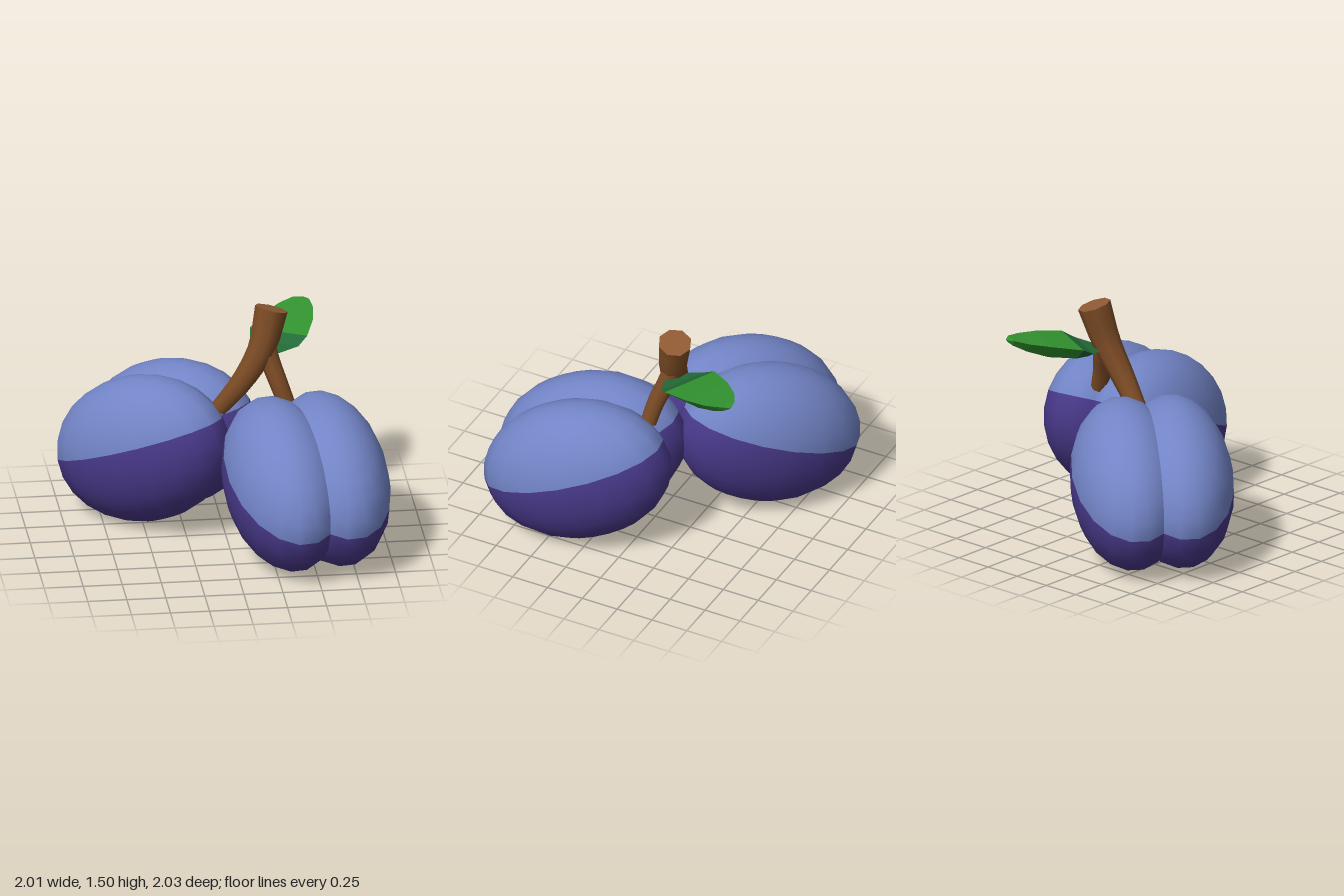
import * as THREE from 'three';

const mat = (name, color, side = THREE.FrontSide) => {
  const m = new THREE.MeshStandardMaterial({ color, side });
  m.name = name;
  return m;
};

export function createModel() {
  const bloom = mat('bloomBlue', 0x7284c6);
  const skin = mat('skinPurple', 0x483888);
  const bark = mat('barkBrown', 0x7a4a24);
  const cutWood = mat('cutWood', 0x8f5a34);
  const leafGreen = mat('leafGreen', 0x339430, THREE.DoubleSide);
  const leafDark = mat('leafDarkGreen', 0x246a38, THREE.DoubleSide);

  const model = new THREE.Group();
  model.name = 'fruitPair';
  const add = (parent, name, geometry, material) => {
    const mesh = new THREE.Mesh(geometry, material);
    mesh.name = name;
    parent.add(mesh);
  };

  // Fruit: two overlapping lobes, each split into a pale top and a dark underside
  const split = Math.acos(0.15);
  function fruit(name, x, z, yaw) {
    const g = new THREE.Group();
    g.name = name;
    g.position.set(x, 0.5, z);
    g.rotation.set(0.39, yaw, 0, 'YXZ');
    for (const side of [-1, 1]) {
      const lobe = (start, length, rows) =>
        new THREE.SphereGeometry(1, 18, rows, 0, Math.PI * 2, start, length)
          .scale(0.36, 0.476, 0.642).translate(side * 0.16, 0, 0);
      const label = side > 0 ? 'left' : 'right';
      add(g, label + 'LobeTop', lobe(0, split, 6), bloom);
      add(g, label + 'LobeUnderside', lobe(split, Math.PI - split, 7), skin);
    }
    model.add(g);
  }
  fruit('frontFruit', 0.47, 0.385, 0.17);
  fruit('backFruit', -0.39, -0.405, -2.264);

  // Tapered branch: an eight-sided cylinder bent along a curve, bottom to top
  function branch(name, points, r0, r1) {
    const curve = new THREE.CatmullRomCurve3(points.map(p => new THREE.Vector3(...p)));
    const geo = new THREE.CylinderGeometry(1, 1, 1, 8, 8);
    const pos = geo.attributes.position, nor = geo.attributes.normal;
    const v = new THREE.Vector3(), n = new THREE.Vector3();
    for (let i = 0; i < pos.count; i++) {
      const t = THREE.MathUtils.clamp(pos.getY(i) + 0.5, 0, 1);
      const r = THREE.MathUtils.lerp(r0, r1, t);
      const T = curve.getTangentAt(t);
      const X = new THREE.Vector3().crossVectors(T, new THREE.Vector3(0, 0, 1)).normalize();
      const Z = new THREE.Vector3().crossVectors(X, T);
      v.copy(curve.getPointAt(t)).addScaledVector(X, pos.getX(i) * r).addScaledVector(Z, pos.getZ(i) * r);
      n.set(0, 0, 0).addScaledVector(X, nor.getX(i)).addScaledVector(T, nor.getY(i)).addScaledVector(Z, nor.getZ(i));
      pos.setXYZ(i, v.x, v.y, v.z);
      nor.setXYZ(i, n.x, n.y, n.z);
    }
    add(model, name, geo, [bark, cutWood, bark]);
  }
  branch('mainStem', [[-0.03, 0.81, -0.13], [0.12, 1.0, -0.11], [0.25, 1.22, -0.13], [0.315, 1.465, -0.175]], 0.058, 0.108);
  branch('sideStem', [[0.4, 0.85, -0.03], [0.35, 0.99, -0.06], [0.3, 1.13, -0.11], [0.27, 1.24, -0.14]], 0.055, 0.065);

  // Leaf: flat top with a keeled underside, from [distance, half width, top y, keel y]
  const stations = [
    [0, 0.08, 1.18, 1.16], [0.09, 0.165, 1.2, 1.15], [0.17, 0.195, 1.245, 1.15], [0.36, 0.165, 1.28, 1.18],
    [0.5, 0.115, 1.3, 1.23], [0.59, 0.055, 1.315, 1.275], [0.62, 0.012, 1.31, 1.3],
  ];
  const section = ([s, w, top, keel]) => [[-w, top], [w, top], [w * 0.4, keel], [-w * 0.4, keel]]
    .map(([a, y]) => [0.3 + 0.45 * s + 0.89 * a, y, -0.16 - 0.89 * s + 0.45 * a]);
  function leafPart(name, list, material) {
    const rings = list.map(section), out = [];
    const quad = (a, b, c, d) => out.push(...a, ...b, ...c, ...a, ...c, ...d);
    for (let i = 0; i + 1 < rings.length; i++)
      for (let k = 0; k < 4; k++) {
        const m = (k + 1) % 4;
        quad(rings[i][k], rings[i][m], rings[i + 1][m], rings[i + 1][k]);
      }
    const geo = new THREE.BufferGeometry();
    geo.setAttribute('position', new THREE.Float32BufferAttribute(out, 3));
    geo.computeVertexNormals();
    add(model, name, geo, material);
  }
  leafPart('leafBase', stations.slice(0, 3), leafDark);
  leafPart('leafBlade', stations.slice(2), leafGreen);

  return model;
}
